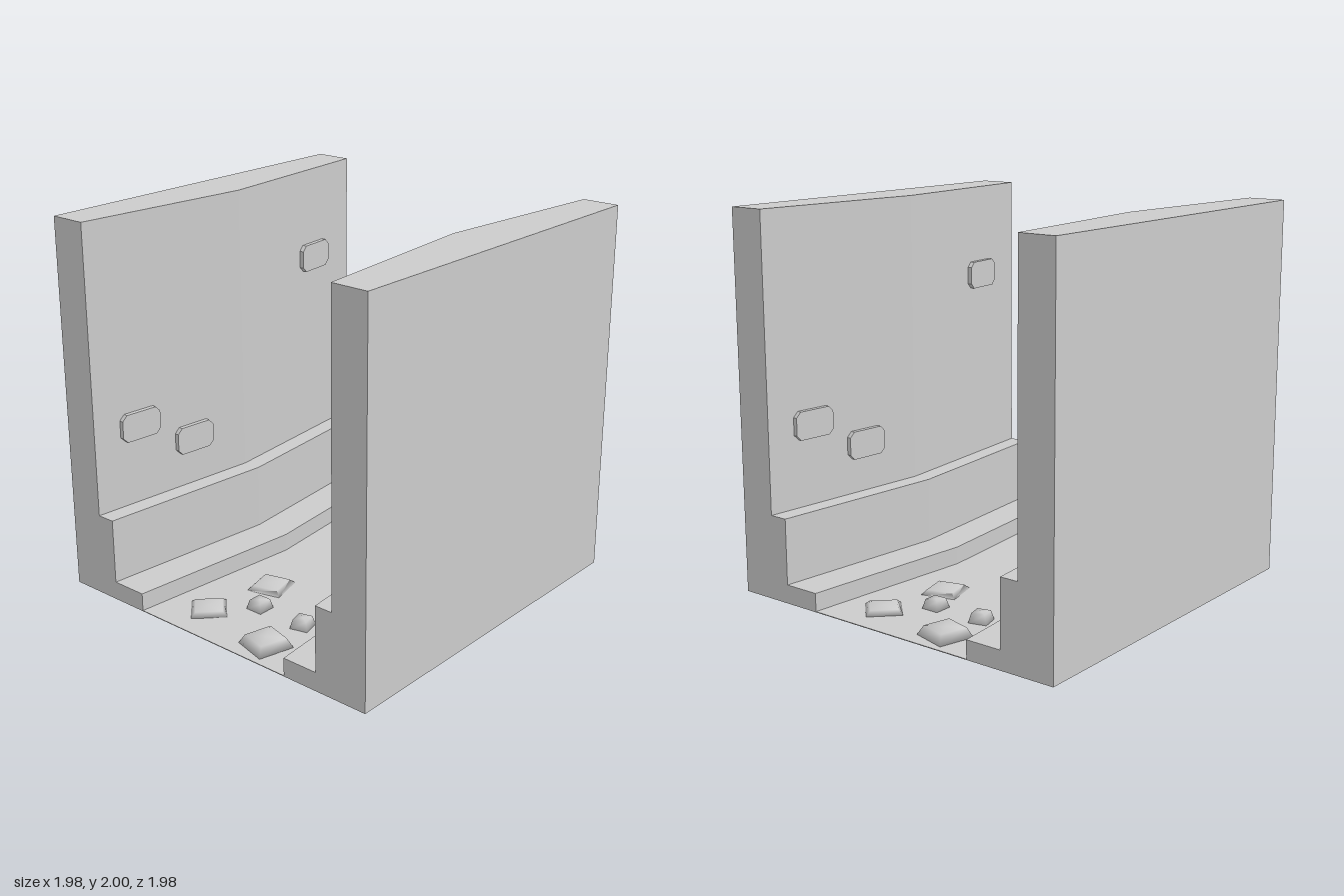
import * as THREE from 'three';
import { mergeVertices } from 'three/addons/utils/BufferGeometryUtils.js';

const material = new THREE.MeshStandardMaterial({ color: 0xcccccc });
const HALF = 0.99;   // half of the footprint
const BULGE = 0.095; // how far the inner faces swell towards the middle

function part(name, geometry, parent) {
  const mesh = new THREE.Mesh(geometry, material);
  mesh.name = name;
  parent.add(mesh);
  return mesh;
}

// Stepped wall section swept along x, its inner side bulging at x = 0
function wallGeometry() {
  const section = [[0.99, 0], [0.99, 2], [0.79, 2], [0.79, 0.45],
    [0.69, 0.45], [0.69, 0.1], [0.49, 0.1], [0.49, 0]];
  const shape = new THREE.Shape(section.map(([z, y]) => new THREE.Vector2(-z, y)));
  const geometry = new THREE.ExtrudeGeometry(shape, { depth: 2 * HALF, steps: 2, bevelEnabled: false });
  geometry.rotateY(Math.PI / 2).translate(-HALF, 0, 0);
  const p = geometry.attributes.position;
  for (let i = 0; i < p.count; i++) {
    if (p.getZ(i) < 0.98) p.setZ(i, p.getZ(i) - BULGE * (1 - Math.abs(p.getX(i)) / HALF));
  }
  geometry.computeVertexNormals();
  return geometry;
}

// Flat brick with clipped corners
function brickGeometry() {
  const w = 0.12, h = 0.075, c = 0.028;
  const shape = new THREE.Shape([
    [-w + c, -h], [w - c, -h], [w, -h + c], [w, h - c],
    [w - c, h], [-w + c, h], [-w, h - c], [-w, -h + c],
  ].map(([x, y]) => new THREE.Vector2(x, y)));
  return new THREE.ExtrudeGeometry(shape, { depth: 0.035, bevelEnabled: false }).translate(0, 0, -0.01);
}

// Square tapered stone with soft shading
function stoneGeometry(size, height) {
  const r = size / Math.SQRT2;
  const geometry = new THREE.CylinderGeometry(r * 0.74, r, height, 4, 1);
  geometry.rotateY(Math.PI / 4).translate(0, height / 2, 0);
  geometry.deleteAttribute('normal');
  geometry.deleteAttribute('uv');
  const smooth = mergeVertices(geometry);
  smooth.computeVertexNormals();
  return smooth;
}

// One side of the passage: wall, bricks and stones
function createSide() {
  const side = new THREE.Group();
  part('steppedWall', wallGeometry(), side);

  for (const [x, y] of [[0.36, 0.715], [0.71, 0.885], [-0.65, 1.505]]) {
    const brick = part('wallBrick', brickGeometry(), side);
    const slope = Math.atan(BULGE / HALF);
    brick.position.set(x, y, 0.79 - BULGE * (1 - Math.abs(x) / HALF));
    brick.rotation.y = Math.PI - Math.sign(x) * slope;
  }

  // x, z, size, height, turn in degrees
  const stones = [
    [0.76, 0.24, 0.19, 0.027, 45],
    [0.37, 0.165, 0.195, 0.027, 15],
    [0.58, 0.05, 0.1, 0.052, 0],
    [-0.58, 0.245, 0.1, 0.052, 15],
    [-0.835, 0.23, 0.2, 0.052, -15],
  ];
  for (const [x, z, size, height, turn] of stones) {
    const stone = part('floorStone', stoneGeometry(size, height), side);
    stone.position.set(x, 0.001, z);
    stone.rotation.y = THREE.MathUtils.degToRad(turn);
  }
  return side;
}

export function createModel() {
  const model = new THREE.Group();
  model.name = 'passage';

  const floor = part('floor', new THREE.BoxGeometry(2 * HALF, 0.004, 0.98), model);
  floor.position.y = 0.002;

  // The two sides are half-turn copies of each other
  const front = createSide();
  front.name = 'frontSide';
  const back = createSide();
  back.name = 'backSide';
  back.rotation.y = Math.PI;
  model.add(front, back);
  return model;
}
